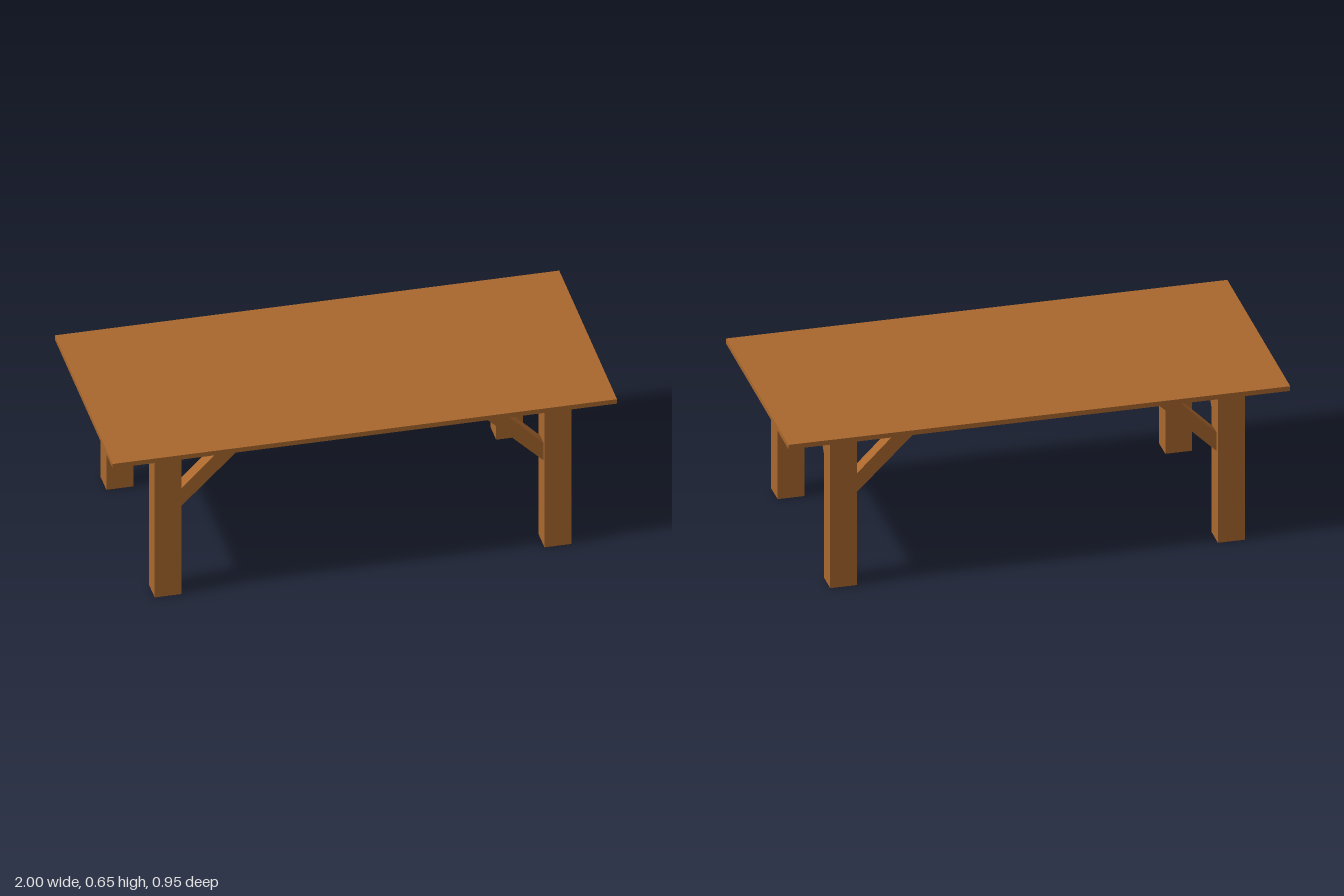
import * as THREE from 'three';

const wood = new THREE.MeshStandardMaterial({ color: 0xab682d });
wood.name = 'brown wood';

const UNDERSIDE = 0.633;
const LEG = { x: 0.773, z: 0.399, w: 0.107, d: 0.097 };
const BRACE_WIDTH = 0.056;

function box(name, w, h, d, x, y, z) {
  const mesh = new THREE.Mesh(new THREE.BoxGeometry(w, h, d), wood);
  mesh.name = name;
  mesh.position.set(x, y, z);
  return mesh;
}

// Diagonal strut: side outline [distance from table centre, height], extruded to its width
function brace(name, outline) {
  const shape = new THREE.Shape(outline.map(([u, y]) => new THREE.Vector2(u, y)));
  const geometry = new THREE.ExtrudeGeometry(shape, { depth: BRACE_WIDTH, bevelEnabled: false });
  geometry.translate(0, 0, -BRACE_WIDTH / 2);
  const mesh = new THREE.Mesh(geometry, wood);
  mesh.name = name;
  return mesh;
}

const longOutline = [[0.72, 0.385], [0.72, 0.465], [0.552, UNDERSIDE], [0.479, UNDERSIDE], [0.473, 0.627]];
const shortOutline = [[0.351, 0.375], [0.351, 0.461], [0.2, UNDERSIDE], [0.139, UNDERSIDE], [0.131, 0.626]];

export function createModel() {
  const table = new THREE.Group();
  table.name = 'table';

  table.add(box('tableTop', 2, 0.02, 0.954, 0, UNDERSIDE + 0.01, 0));

  // One leg with two braces at each corner
  for (const sx of [1, -1]) {
    for (const sz of [1, -1]) {
      const corner = new THREE.Group();
      corner.name = (sz > 0 ? 'front' : 'back') + (sx > 0 ? 'Left' : 'Right') + 'Corner';
      corner.add(box('leg', LEG.w, UNDERSIDE, LEG.d, sx * LEG.x, UNDERSIDE / 2, sz * LEG.z));

      const long = brace('longBrace', longOutline);
      long.rotation.y = sx > 0 ? 0 : Math.PI;
      long.position.z = sz * LEG.z;

      const short = brace('shortBrace', shortOutline);
      short.rotation.y = -sz * Math.PI / 2;
      short.position.x = sx * LEG.x;

      corner.add(long, short);
      table.add(corner);
    }
  }
  return table;
}
